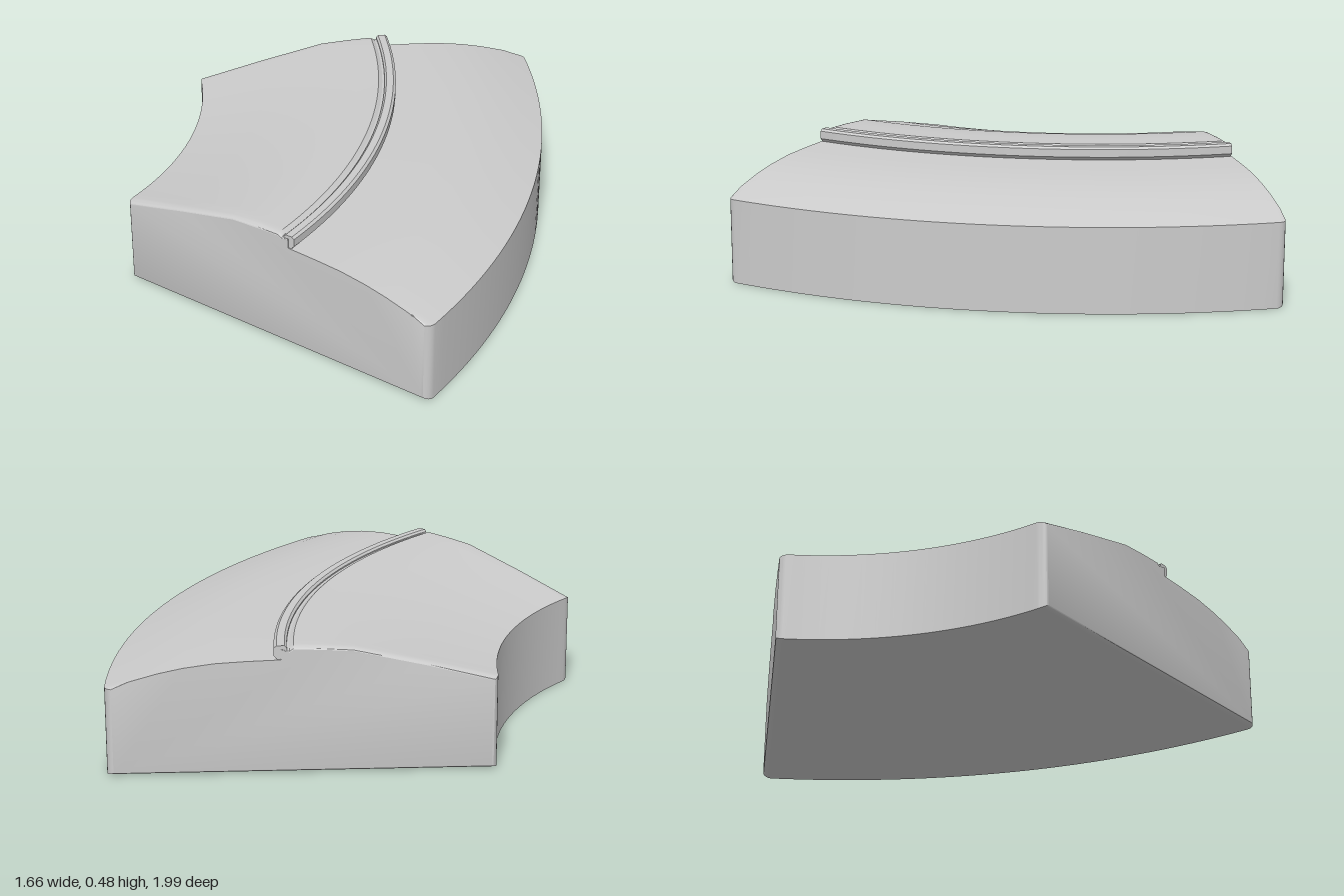
import * as THREE from 'three';
import { toCreasedNormals } from 'three/addons/utils/BufferGeometryUtils.js';

// Ring sector: centre, radii and angle range (measured from +x towards +z)
const CX = -1.87, CZ = -0.662, RI = 1.305, RO = 2.697;
const A0 = -7.2 * Math.PI / 180, A1 = 38.4 * Math.PI / 180;
const CORNER = 0.035, ARC_STEPS = 32, CORNER_STEPS = 5;

// Body cross-section [radius, height], stepped down outside the rail
const bodyProfile = [
  [RI, 0], [RI, 0.345], [1.56, 0.406], [1.82, 0.464], [1.94, 0.471], [2.03, 0.473], [2.045, 0.463],
  [2.075, 0.463], [2.075, 0.425], [2.2, 0.421], [2.31, 0.415], [2.42, 0.4], [2.51, 0.381],
  [2.61, 0.353], [RO, 0.325], [RO, 0],
];

// Raised lip along the step, undercut a little at its foot
const railProfile = [
  [2.054, 0.44], [2.054, 0.468], [2.062, 0.476], [2.09, 0.476], [2.1, 0.468],
  [2.1, 0.438], [2.092, 0.43], [2.085, 0.42],
];

// Sweep a closed cross-section round the sector. Slices near each end are placed by
// their distance from the flat end face; adjust(point, distance) shapes the end edges.
function sweep(profile, endGap, adjust) {
  const slices = [];
  const ease = k => CORNER * (1 - Math.cos(k / CORNER_STEPS * Math.PI / 2));
  for (let k = 0; k <= CORNER_STEPS; k++) slices.push({ t: 0, s: ease(k) });
  for (let k = 1; k < ARC_STEPS; k++) slices.push({ t: k / ARC_STEPS, s: CORNER });
  for (let k = CORNER_STEPS; k >= 0; k--) slices.push({ t: 1, s: ease(k) });

  const n = profile.length, pos = [], idx = [];
  for (const { t, s } of slices) {
    const d = t > 0 && t < 1 ? CORNER : s;
    for (const p of profile) {
      const [r, y] = adjust(p, d);
      const inset = (d + endGap) / r;
      const a = THREE.MathUtils.lerp(A0 + inset, A1 - inset, t);
      pos.push(CX + r * Math.cos(a), y, CZ + r * Math.sin(a));
    }
  }
  for (let i = 0; i < slices.length - 1; i++) {
    for (let j = 0; j < n; j++) {
      const a = i * n + j, b = i * n + (j + 1) % n;
      idx.push(a, a + n, b + n, a, b + n, b);
    }
  }
  // Flat end faces
  const flat = profile.map(p => new THREE.Vector2(...adjust(p, 0)));
  const last = (slices.length - 1) * n;
  for (const tri of THREE.ShapeUtils.triangulateShape(flat, [])) {
    let [a, b, c] = tri;
    if (THREE.ShapeUtils.area([flat[a], flat[b], flat[c]]) < 0) [b, c] = [c, b];
    idx.push(a, c, b, last + a, last + b, last + c);
  }
  const geo = new THREE.BufferGeometry();
  geo.setAttribute('position', new THREE.Float32BufferAttribute(pos, 3));
  geo.setIndex(idx);
  return toCreasedNormals(geo, 0.45);
}

// Round the upright corners and soften the inner top and bottom end edges
function bodyEnds([r, y], d) {
  const u = 1 - d / CORNER;
  const round = 1 - Math.sqrt(1 - u * u);
  let radius = r;
  if (r === RI) radius += 0.02 * round;
  if (r === RO) radius -= CORNER * round;
  let height = y;
  if (y === 0) height += 0.013 * round;
  else if (r < 2.05) height -= 0.011 * round;
  return [radius, height];
}

export function createModel() {
  const group = new THREE.Group();
  group.name = 'curvedSegment';
  const material = new THREE.MeshStandardMaterial({ color: 0xcccccc });

  const body = new THREE.Mesh(sweep(bodyProfile, 0, bodyEnds), material);
  body.name = 'body';
  const rail = new THREE.Mesh(sweep(railProfile, 0.004, p => p), material);
  rail.name = 'rail';

  group.add(body, rail);
  return group;
}
